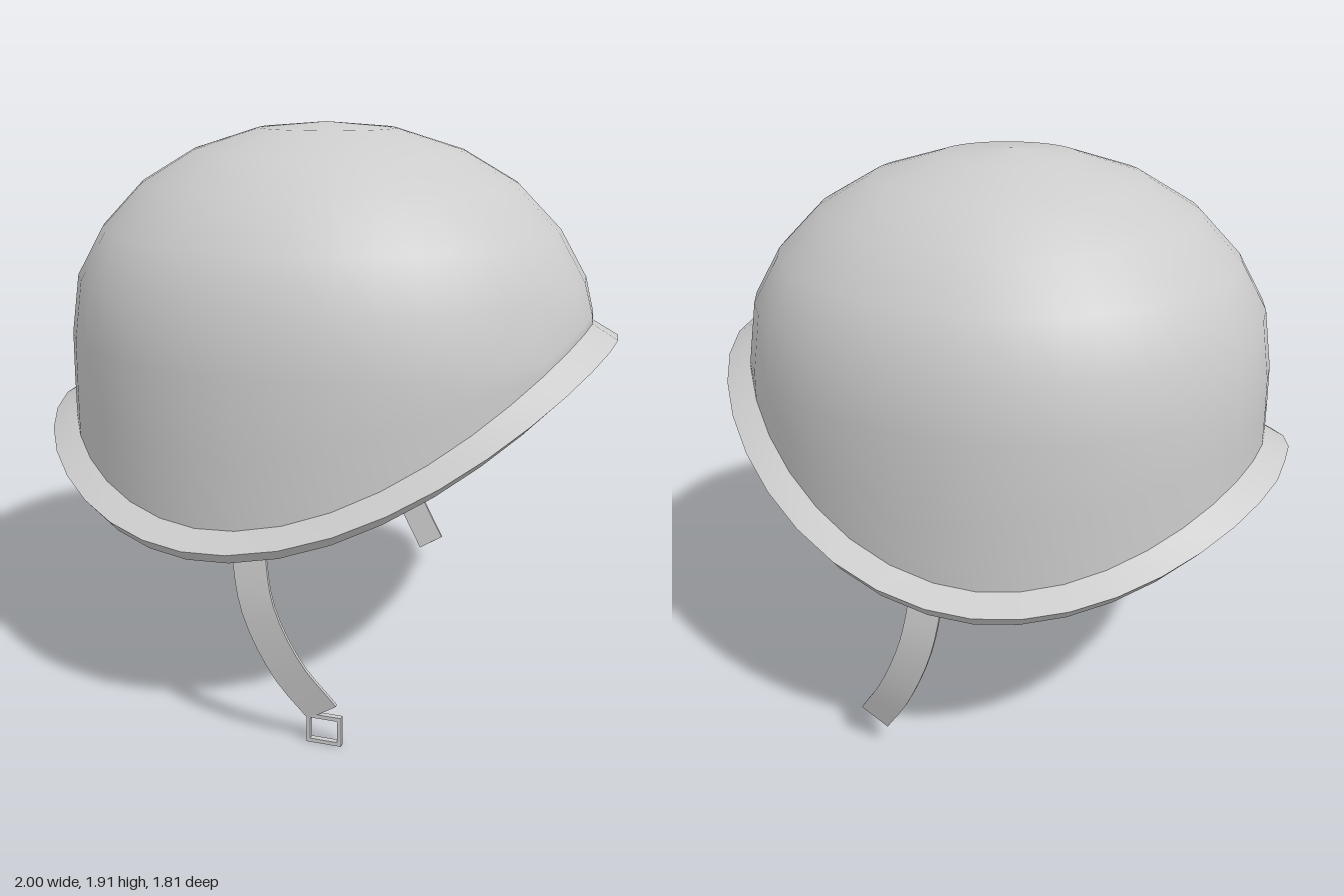
import * as THREE from 'three';
import { toCreasedNormals } from 'three/addons/utils/BufferGeometryUtils.js';

const SEGMENTS = 40;

// Skin a list of closed rings (arrays of Vector3, all the same length).
function loft(rings) {
  const n = rings[0].length, index = [];
  for (let i = 0; i < rings.length - 1; i++) {
    for (let j = 0; j < n; j++) {
      const k = (j + 1) % n, a = i * n, b = a + n;
      index.push(a + j, a + k, b + j, a + k, b + k, b + j);
    }
  }
  const geometry = new THREE.BufferGeometry().setFromPoints(rings.flat());
  geometry.setIndex(index);
  geometry.computeVertexNormals();
  return geometry;
}

// Height of the brim's lower edge: lifted at the brow (u = 1) and nape (u = -1).
function rimHeight(u) {
  const d = u + 0.16;
  return 0.627 + (d > 0 ? 0.41 : 0.36) * d * d;
}

// Egg-shaped ring; grow widens it, scale shrinks it towards the crown.
function eggRing(scale, grow, heightAt) {
  const ring = [];
  const centre = -0.05 * scale - 0.02 * (1 - scale);
  for (let j = 0; j < SEGMENTS; j++) {
    const t = (j / SEGMENTS) * Math.PI * 2, u = Math.cos(t);
    const rx = (u > 0 ? 0.96 : 0.87) + grow;
    ring.push(new THREE.Vector3(
      centre + scale * rx * u, heightAt(u), scale * (0.83 + grow) * Math.sin(t)));
  }
  return ring;
}

// Rings of a dome from crown to rim.
function domeRings(grow, drop, rimLift) {
  const crown = [[0, 1.91], [0.26, 1.89], [0.51, 1.818], [0.71, 1.71], [0.868, 1.56], [0.967, 1.4]];
  const rings = crown.map(([s, y]) => eggRing(s, grow, () => y - drop));
  const rim = (u) => rimHeight(u) + rimLift;
  const wall = (u) => Math.max(1.2, rim(u) + 0.03);
  rings.push(eggRing(0.998, grow, wall));
  rings.push(eggRing(1, grow, (u) => (wall(u) + rim(u)) / 2));
  rings.push(eggRing(1, grow, rim));
  return rings;
}

// Curved flat strap with a rectangular section.
function strapGeometry() {
  const path = new THREE.CatmullRomCurve3([
    [-0.02, 0.76, 0.782], [-0.012, 0.64, 0.802], [0.02, 0.47, 0.818],
    [0.105, 0.27, 0.798], [0.207, 0.11, 0.75],
  ].map((p) => new THREE.Vector3(...p)));
  const steps = 14, rings = [];
  for (let i = 0; i <= steps; i++) {
    const p = path.getPoint(i / steps), tangent = path.getTangent(i / steps);
    const across = new THREE.Vector3(0, 0, 1).cross(tangent).normalize();
    const out = new THREE.Vector3().crossVectors(tangent, across).normalize();
    const corner = (w, h) => p.clone().addScaledVector(across, w * 0.055).addScaledVector(out, h * 0.006);
    const ring = [corner(-1, -1), corner(1, -1), corner(1, 1), corner(-1, 1)];
    const cap = () => ring.map(() => p.clone());
    if (i === 0) rings.push(cap());
    rings.push(ring);
    if (i === steps) rings.push(cap());
  }
  return toCreasedNormals(loft(rings), 0.6);
}

export function createModel() {
  const helmet = new THREE.Group();
  helmet.name = 'helmet';
  const grey = new THREE.MeshStandardMaterial({ color: 0xcccccc, side: THREE.DoubleSide });
  grey.name = 'light grey';
  const add = (parent, name, geometry) => {
    const mesh = new THREE.Mesh(geometry, grey);
    mesh.name = name;
    parent.add(mesh);
    return mesh;
  };

  // Outer and inner shell
  const outer = domeRings(0, 0, 0.085);
  const inner = domeRings(-0.03, 0.03, 0.08).reverse();
  add(helmet, 'shell', loft(outer));
  add(helmet, 'innerShell', loft(inner));

  // Flared brim: sloping top, thin edge, underside
  const brim = new THREE.Group();
  brim.name = 'brim';
  helmet.add(brim);
  const lip = eggRing(1, 0.083, (u) => rimHeight(u) + 0.035);
  lip.forEach((p) => { p.x = THREE.MathUtils.clamp(p.x * 1.004, -1, 1); p.z *= 0.992; });
  const base = eggRing(1, 0.05, rimHeight);
  add(brim, 'brimTop', loft([outer[outer.length - 1], lip]));
  add(brim, 'brimEdge', loft([lip, base]));
  add(brim, 'brimUnderside', loft([base, inner[0]]));

  // Chin straps on both sides
  const strap = strapGeometry();
  add(helmet, 'leftStrap', strap);
  const mirrored = strap.clone().scale(1, 1, -1);
  // Swap two corners of every triangle so the mirrored strap faces outwards
  for (const key of ['position', 'normal']) {
    const a = mirrored.attributes[key], v = new THREE.Vector3(), w = new THREE.Vector3();
    for (let i = 0; i < a.count; i += 3) {
      v.fromBufferAttribute(a, i + 1);
      w.fromBufferAttribute(a, i + 2);
      a.setXYZ(i + 1, w.x, w.y, w.z);
      a.setXYZ(i + 2, v.x, v.y, v.z);
    }
  }
  add(helmet, 'rightStrap', mirrored);

  // Rectangular buckle on one strap
  const frame = new THREE.Shape();
  const rect = (path, w, h) => path.moveTo(-w, -h).lineTo(w, -h).lineTo(w, h).lineTo(-w, h).closePath();
  rect(frame, 0.058, 0.05);
  const hole = new THREE.Path();
  rect(hole, 0.045, 0.037);
  frame.holes.push(hole);
  const buckle = add(helmet, 'buckle',
    new THREE.ExtrudeGeometry(frame, { depth: 0.018, bevelEnabled: false }));
  buckle.position.set(0.213, 0.05, 0.739);

  return helmet;
}
